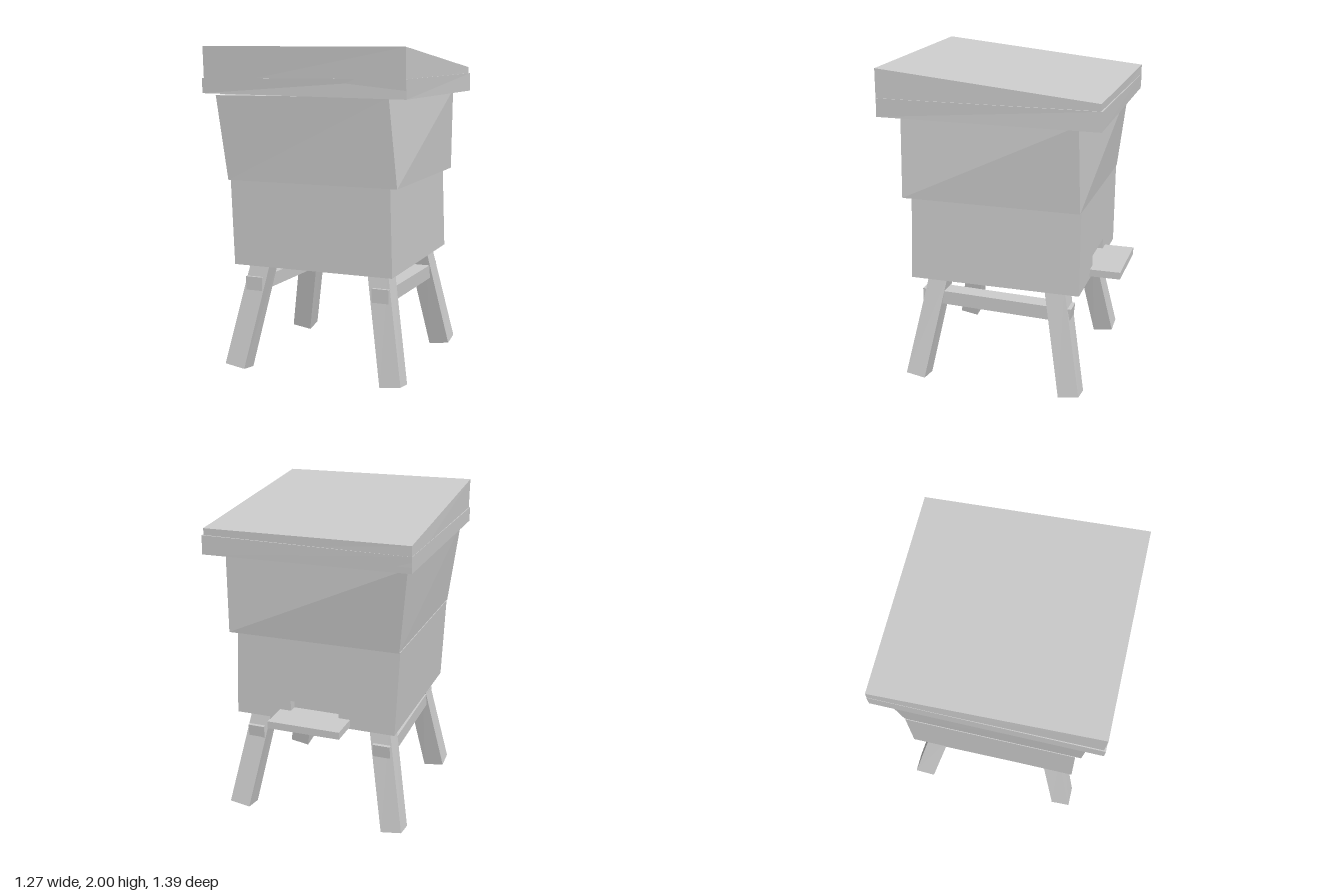
import * as THREE from 'three';

// Six-sided block from eight corners, each ring ordered:
// front -x, front +x, back +x, back -x
function blockGeometry(bottom, top) {
  const geo = new THREE.BoxGeometry(1, 1, 1).toNonIndexed();
  const p = geo.attributes.position;
  for (let i = 0; i < p.count; i++) {
    const ring = p.getY(i) > 0 ? top : bottom;
    const right = p.getX(i) > 0;
    const corner = p.getZ(i) > 0 ? (right ? 1 : 0) : (right ? 2 : 3);
    p.setXYZ(i, ...ring[corner]);
  }
  geo.computeVertexNormals();
  return geo;
}

// Level ring of corners
const ring = (y, x0, x1, zBack, zFront) => [
  [x0, y, zFront], [x1, y, zFront], [x1, y, zBack], [x0, y, zBack],
];

export function createModel() {
  const hive = new THREE.Group();
  hive.name = 'beehive';
  const wood = new THREE.MeshStandardMaterial({ color: 0xcccccc });
  wood.name = 'plain grey wood';

  const add = (name, geo) => {
    const mesh = new THREE.Mesh(geo, wood);
    mesh.name = name;
    hive.add(mesh);
    return mesh;
  };

  // Lower box, closed at the back by a panel with the entrance slot
  add('lowerBox', blockGeometry(
    ring(0.675, -0.515, 0.51, -0.45, 0.56),
    ring(1.205, -0.54, 0.49, -0.45, 0.55)));
  const panel = new THREE.Shape([
    new THREE.Vector2(-0.515, 0.675), new THREE.Vector2(0.51, 0.675),
    new THREE.Vector2(0.49, 1.205), new THREE.Vector2(-0.54, 1.205)]);
  panel.holes.push(new THREE.Path([
    new THREE.Vector2(-0.16, 0.735), new THREE.Vector2(-0.16, 0.8),
    new THREE.Vector2(0.15, 0.8), new THREE.Vector2(0.15, 0.735)]));
  add('entrancePanel', new THREE.ExtrudeGeometry(panel, { depth: 0.055, bevelEnabled: false }))
    .position.z = -0.505;

  // Landing board under the entrance
  add('landingBoard', blockGeometry(
    ring(0.69, -0.235, 0.22, -0.695, -0.49),
    ring(0.735, -0.235, 0.22, -0.695, -0.49)));

  // Upper box, flared and slightly twisted
  add('upperBox', blockGeometry(
    ring(1.2, -0.535, 0.545, -0.51, 0.588),
    [[-0.6, 1.71, 0.605], [0.495, 1.715, 0.6], [0.555, 1.72, -0.495], [-0.59, 1.72, -0.565]]));

  // Roof rim, a little crooked
  add('roofRim', blockGeometry(
    [[-0.637, 1.725, 0.695], [0.63, 1.71, 0.695], [0.632, 1.71, -0.64], [-0.633, 1.715, -0.635]],
    [[-0.637, 1.815, 0.698], [0.632, 1.82, 0.688], [0.628, 1.825, -0.642], [-0.633, 1.81, -0.638]]));

  // Sloping roof, high at the front
  add('roof', blockGeometry(
    [[-0.63, 1.75, 0.685], [0.628, 1.73, 0.692], [0.622, 1.75, -0.63], [-0.632, 1.75, -0.637]],
    [[-0.632, 2.0, 0.692], [0.625, 1.993, 0.692], [0.62, 1.865, -0.633], [-0.63, 1.87, -0.637]]));

  // Splayed legs with slanted feet, and a rail on each side
  for (const sx of [-1, 1]) {
    const side = sx > 0 ? 'Left' : 'Right';
    for (const sz of [-1, 1]) {
      const xs = [0.447, 0.578];
      const zs = sz > 0 ? [0.472, 0.593] : [0.402, 0.53];
      // Horizontal section, shifted inwards towards the top
      const section = (shift, y) => [[-1, 1], [1, 1], [1, -1], [-1, -1]].map(([a, b]) => {
        const outX = a === sx ? 1 : 0, outZ = b === sz ? 1 : 0;
        const lift = y === 0 ? 0.02 * (outX + outZ) : 0;
        return [sx * (xs[outX] - shift), y + lift, sz * (zs[outZ] - shift)];
      });
      add((sz > 0 ? 'front' : 'back') + side + 'Leg',
        blockGeometry(section(0, 0), section(0.128, 0.69)));
    }
    const x0 = sx > 0 ? 0.363 : -0.47, x1 = sx > 0 ? 0.47 : -0.36;
    add('rail' + side, blockGeometry(
      [[x0, 0.505, 0.505], [x1, 0.505, 0.505], [x1, 0.477, -0.44], [x0, 0.477, -0.44]],
      [[x0, 0.59, 0.505], [x1, 0.59, 0.505], [x1, 0.565, -0.45], [x0, 0.565, -0.45]]));
  }
  return hive;
}
